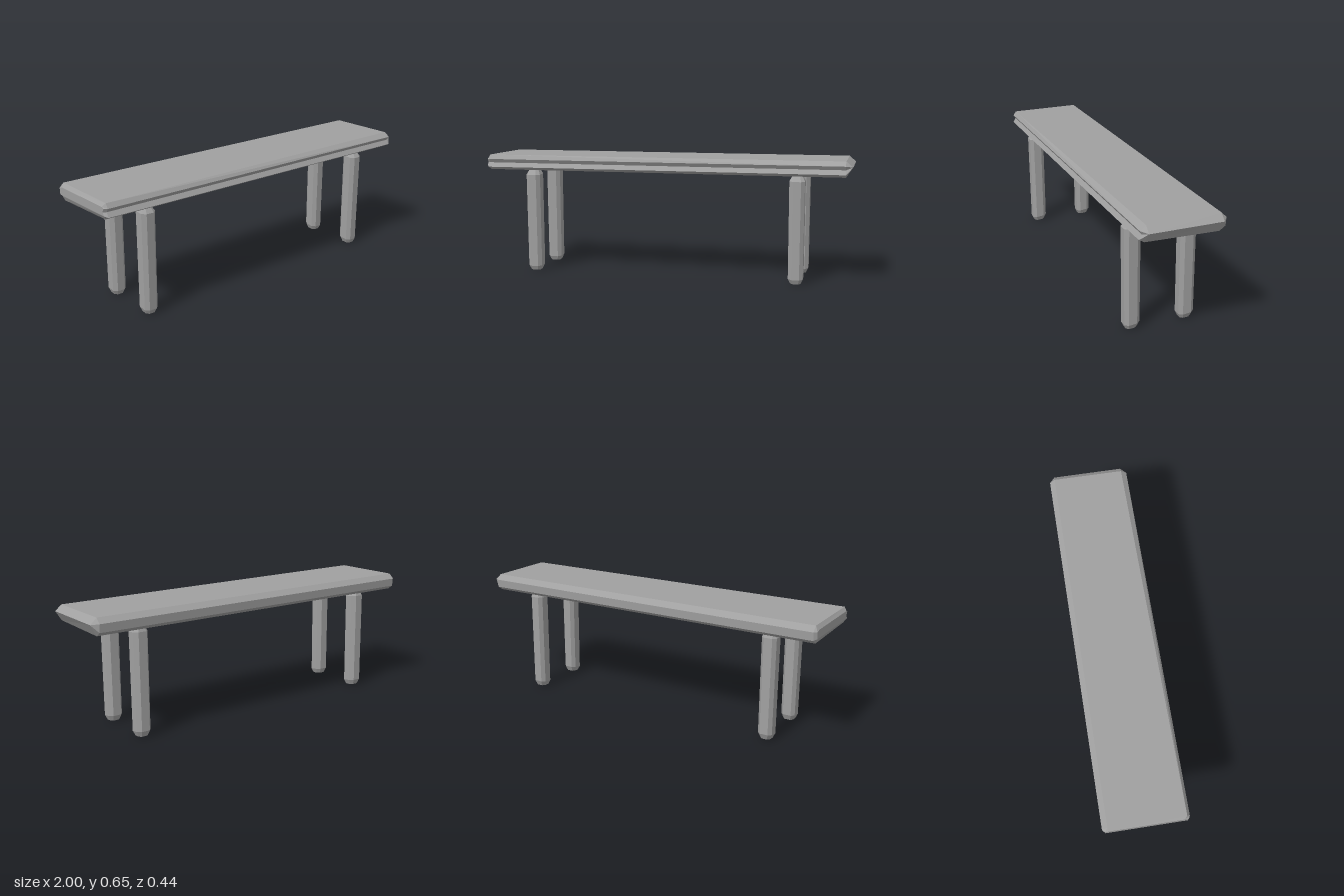
import * as THREE from 'three';

// Skin a series of closed cross-sections and cap both ends
function loft(rings) {
  const pos = [];
  const tri = (a, b, c) => {
    const n = b.clone().sub(a).cross(c.clone().sub(a));
    if (n.length() > 1e-9) for (const p of [a, b, c]) pos.push(p.x, p.y, p.z);
  };
  const centre = (ring) => ring.reduce((s, p) => s.add(p), new THREE.Vector3()).divideScalar(ring.length);
  const n = rings[0].length;
  const first = rings[0], last = rings[rings.length - 1];
  const c0 = centre(first), c1 = centre(last);
  for (let j = 0; j < n; j++) {
    const k = (j + 1) % n;
    for (let i = 0; i < rings.length - 1; i++) {
      const [p, q] = [rings[i], rings[i + 1]];
      tri(p[j], p[k], q[k]);
      tri(p[j], q[k], q[j]);
    }
    tri(c0, first[k], first[j]);
    tri(c1, last[j], last[k]);
  }
  const geo = new THREE.BufferGeometry();
  geo.setAttribute('position', new THREE.Float32BufferAttribute(pos, 3));
  geo.computeVertexNormals();
  return geo;
}

const V = (x, y, z) => new THREE.Vector3(x, y, z);

// Plank section as [z, y], with a shallow groove along the front edge
const plank = [
  [0.2, 0.65], [0.215, 0.626], [0.203, 0.607], [0.218, 0.583], [0.19, 0.568],
  [-0.185, 0.561], [-0.215, 0.582], [-0.218, 0.625], [-0.19, 0.652],
];

function seatGeometry() {
  const clamp = THREE.MathUtils.clamp;
  return loft([
    // blunt end
    plank.map(([z, y]) => V(-1, clamp(y, 0.59, 0.632), z * 0.94)),
    plank.map(([z, y]) => V(-0.985, y, z)),
    // wedge-shaped end, drawn in to a horizontal ridge
    plank.map(([z, y], i) => V(0.965, y, i === 0 ? 0.185 : z)),
    plank.map(([z]) => V(1, 0.62, z > 0 ? 0.185 : -0.19)),
  ]);
}

// Eight-sided leg section as [x, z]
const legSection = [
  [0.04, 0.024], [0.04, -0.021], [0.022, -0.042], [-0.024, -0.042],
  [-0.04, -0.022], [-0.04, 0.024], [-0.02, 0.042], [0.022, 0.042],
];

function legGeometry() {
  const ring = (y, scale, tilt, dz) =>
    legSection.map(([x, z]) => V(x * scale, y + z * tilt, z * scale + dz));
  return loft([
    ring(0.003, 0.68, -0.04, -0.002),
    ring(0.03, 0.97, -0.12, -0.003),
    ring(0.543, 1, -0.08, 0.002),
    ring(0.571, 0.62, 0, -0.004),
  ]);
}

export function createModel() {
  const group = new THREE.Group();
  const stone = new THREE.MeshStandardMaterial({ color: 0xa0a0a0, flatShading: true });
  stone.name = 'stone grey';

  const seat = new THREE.Mesh(seatGeometry(), stone);
  seat.name = 'seat';
  group.add(seat);

  const leg = legGeometry();
  for (const [side, x] of [['Right', -0.74], ['Left', 0.72]]) {
    for (const [end, z] of [['front', 0.148], ['back', -0.146]]) {
      const mesh = new THREE.Mesh(leg, stone);
      mesh.name = `${end}${side}Leg`;
      mesh.position.set(x, 0, z);
      group.add(mesh);
    }
  }
  return group;
}
